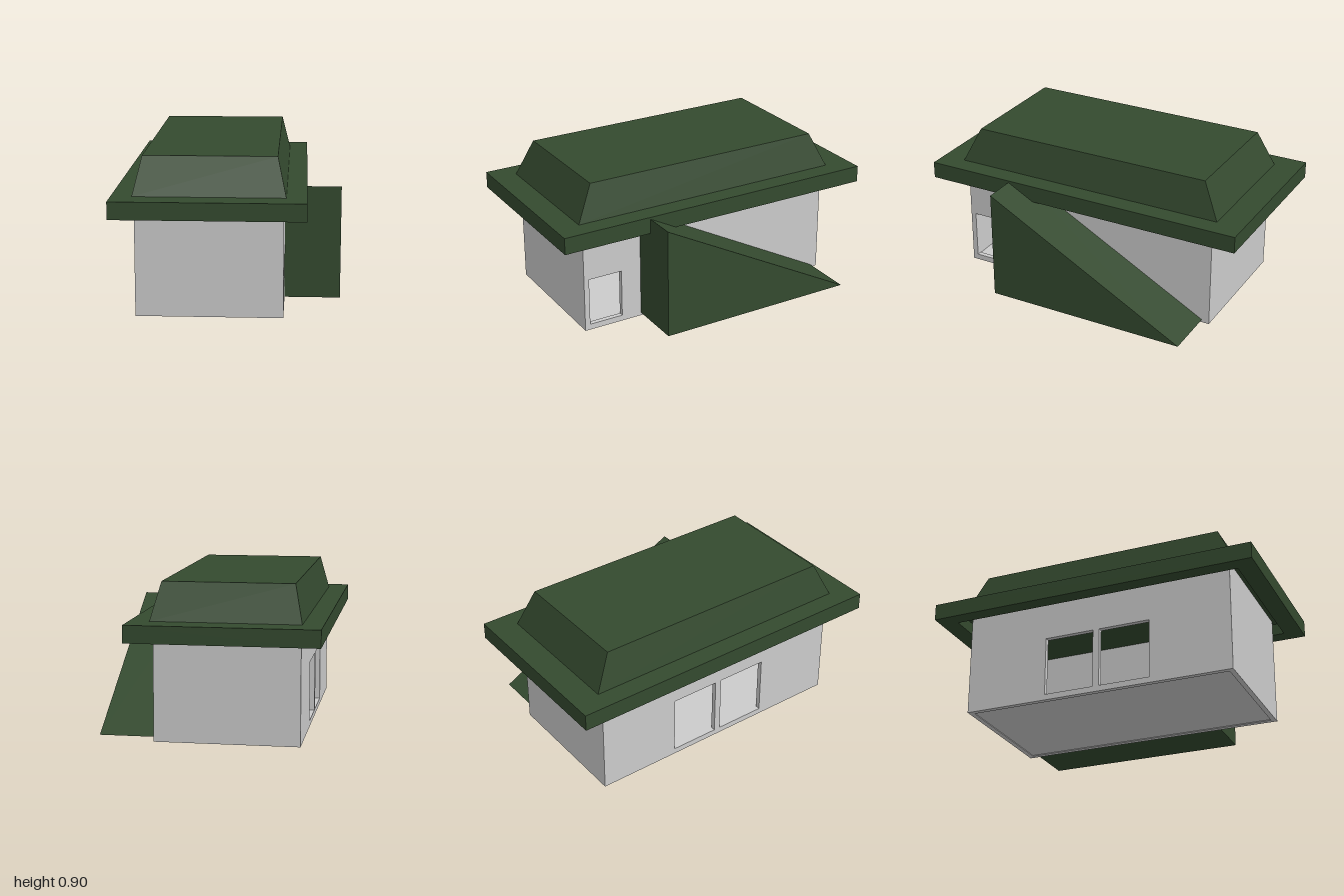
import * as THREE from 'three';

const grey = new THREE.MeshStandardMaterial({ color: 0xcccccc, flatShading: true });
const green = new THREE.MeshStandardMaterial({ color: 0x344a2f, flatShading: true });

const rectPath = (path, a0, a1, b0, b1) => {
  path.moveTo(a0, b0);
  path.lineTo(a1, b0);
  path.lineTo(a1, b1);
  path.lineTo(a0, b1);
  path.closePath();
  return path;
};

// Box given by its limits on each axis
function block(name, material, x0, x1, y0, y1, z0, z1) {
  const mesh = new THREE.Mesh(new THREE.BoxGeometry(x1 - x0, y1 - y0, z1 - z0), material);
  mesh.position.set((x0 + x1) / 2, (y0 + y1) / 2, (z0 + z1) / 2);
  mesh.name = name;
  return mesh;
}

// Shape drawn in (z, y), extruded along x from x0 to x1
function sidePiece(name, material, shape, x0, x1) {
  const geo = new THREE.ExtrudeGeometry(shape, { depth: x1 - x0, bevelEnabled: false });
  geo.rotateY(-Math.PI / 2); // shape x -> z, depth -> -x
  geo.translate(x1, 0, 0);
  const mesh = new THREE.Mesh(geo, material);
  mesh.name = name;
  return mesh;
}

export function createModel() {
  const model = new THREE.Group();
  model.name = 'house';

  const X0 = -0.515, X1 = 0.313, Z0 = -0.81, Z1 = 0.83;
  const T = 0.03, WALL_TOP = 0.67;

  // Side walls with their openings, each [z0, z1, y0, y1]
  const sideWall = (name, x0, x1, openings) => {
    const shape = rectPath(new THREE.Shape(), Z0, Z1, 0, WALL_TOP);
    for (const o of openings) shape.holes.push(rectPath(new THREE.Path(), ...o));
    return sidePiece(name, grey, shape, x0, x1);
  };
  model.add(sideWall('leftWall', X1 - T, X1, [[0.588, 0.798, 0.035, 0.325]]));
  model.add(sideWall('rightWall', X0, X0 + T, [
    [-0.31, -0.01, 0.035, 0.39],
    [0.03, 0.34, 0.035, 0.39],
  ]));

  // End walls and floor
  model.add(block('frontWall', grey, X0 + T, X1 - T, 0, WALL_TOP, Z1 - T, Z1));
  model.add(block('backWall', grey, X0 + T, X1 - T, 0, WALL_TOP, Z0, Z0 + T));
  model.add(block('floor', grey, X0 + T, X1 - T, 0.005, 0.03, Z0 + T, Z1 - T));

  // Overhanging eaves: a rim around a thinner deck
  const rim = rectPath(new THREE.Shape(), -0.64, 0.44, -1, 1);
  rim.holes.push(rectPath(new THREE.Path(), -0.55, 0.35, -0.89, 0.89));
  const rimGeo = new THREE.ExtrudeGeometry(rim, { depth: 0.1, bevelEnabled: false });
  rimGeo.rotateX(-Math.PI / 2).translate(0, 0.588, 0);
  const eaves = new THREE.Mesh(rimGeo, green);
  eaves.name = 'eavesRim';
  model.add(eaves);
  model.add(block('roofDeck', green, -0.55, 0.35, 0.66, 0.688, -0.89, 0.89));

  // Flat-topped hipped roof: a box tapered towards the top
  const roof = block('hippedRoof', green, -0.523, 0.325, 0.688, 0.9, -0.84, 0.855);
  const pos = roof.geometry.attributes.position;
  for (let i = 0; i < pos.count; i++) {
    if (pos.getY(i) > 0) {
      pos.setX(i, pos.getX(i) - Math.sign(pos.getX(i)) * 0.049);
      pos.setZ(i, pos.getZ(i) - Math.sign(pos.getZ(i)) * 0.102);
    }
  }
  roof.geometry.computeVertexNormals();
  model.add(roof);

  // Sloping wedge against the left wall
  const wedge = new THREE.Shape();
  wedge.moveTo(0.463, 0.017);
  wedge.lineTo(0.463, 0.677);
  wedge.lineTo(-0.765, 0.017);
  wedge.closePath();
  model.add(sidePiece('sideRamp', green, wedge, X1, 0.636));

  return model;
}
